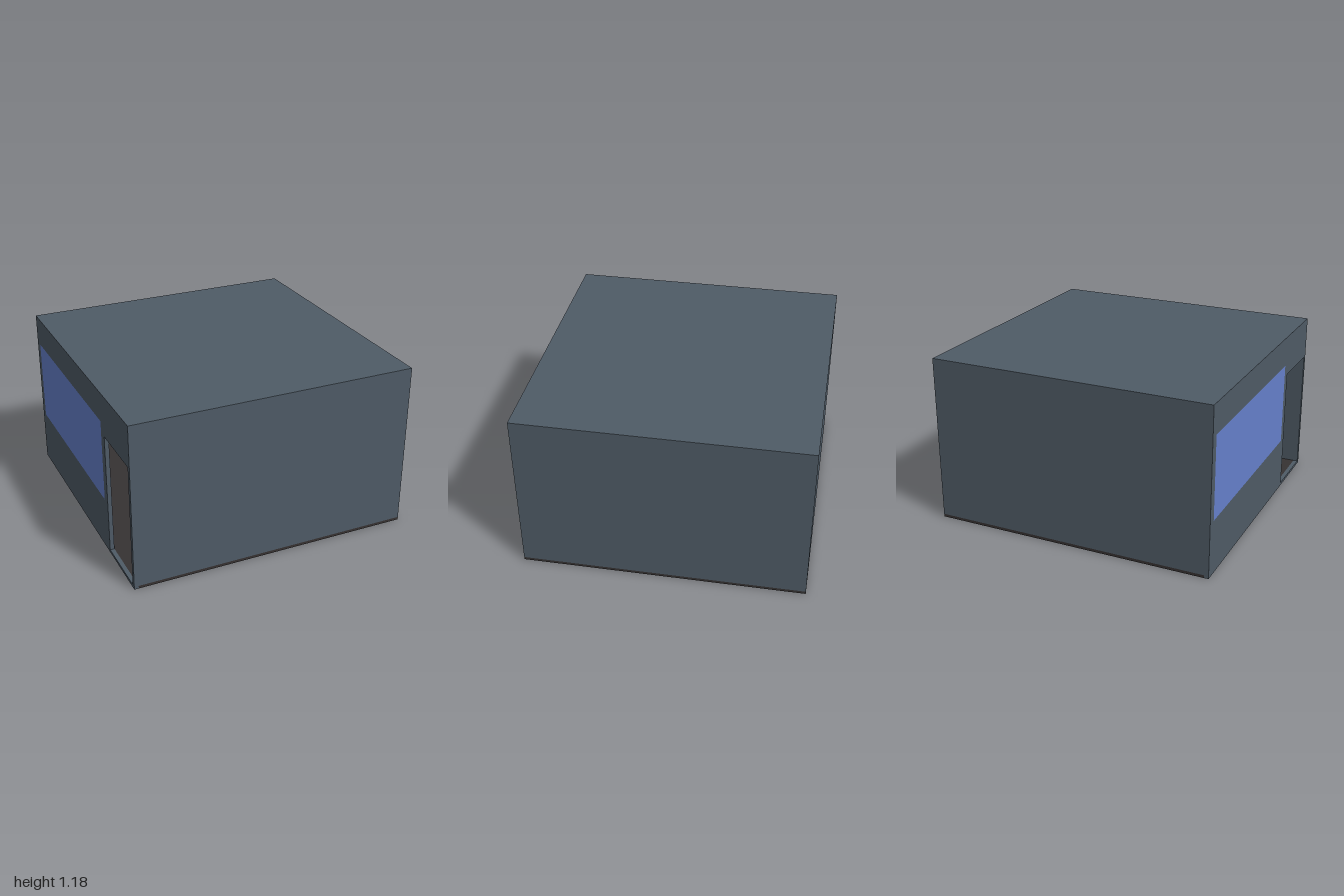
import * as THREE from 'three';

const W = 1, D = 0.98, H = 1.18; // half width, half depth, height
const T = 0.03, F = 0.02;        // wall and floor thickness

const material = (color) => new THREE.MeshStandardMaterial({ color });

// Box given by its two opposite corners
function slab(name, mat, x0, x1, y0, y1, z0, z1) {
  const mesh = new THREE.Mesh(new THREE.BoxGeometry(x1 - x0, y1 - y0, z1 - z0), mat);
  mesh.position.set((x0 + x1) / 2, (y0 + y1) / 2, (z0 + z1) / 2);
  mesh.name = name;
  return mesh;
}

// Rectangle outline for the entrance wall, drawn in z and y
function rect(Type, z0, z1, y0, y1) {
  const r = new Type();
  r.moveTo(z0, y0);
  r.lineTo(z1, y0);
  r.lineTo(z1, y1);
  r.lineTo(z0, y1);
  r.closePath();
  return r;
}

export function createModel() {
  const group = new THREE.Group();
  group.name = 'room';
  const wallMat = material(0x4f5b66);
  const floorMat = material(0x363232);
  const glassMat = material(0x6680cc);

  // Floor and roof
  group.add(slab('floor', floorMat, -W + T, W, 0, F, -D, D));
  group.add(slab('roof', wallMat, -W, W, H - T, H, -D, D));

  // Plain walls
  group.add(slab('frontWall', wallMat, -W + T, W, F, H - T, D - T, D));
  group.add(slab('backWall', wallMat, -W + T, W, F, H - T, -D, -D + T));
  group.add(slab('leftWall', wallMat, W - T, W, F, H - T, -D + T, D - T));

  // Entrance wall with a window and an open doorway
  const win = [-0.92, 0.46, 0.385, 0.97];
  const door = [0.52, 0.95, F, 0.885];
  const outline = rect(THREE.Shape, -D, D, 0, H - T);
  outline.holes.push(rect(THREE.Path, ...win), rect(THREE.Path, ...door));
  const geo = new THREE.ExtrudeGeometry(outline, { depth: T, bevelEnabled: false });
  geo.rotateY(-Math.PI / 2);
  const entrance = new THREE.Mesh(geo, wallMat);
  entrance.position.x = -W + T;
  entrance.name = 'entranceWall';
  group.add(entrance);

  // Window pane filling its opening
  group.add(slab('windowPane', glassMat, -W, -W + T, win[2], win[3], win[0], win[1]));

  return group;
}
